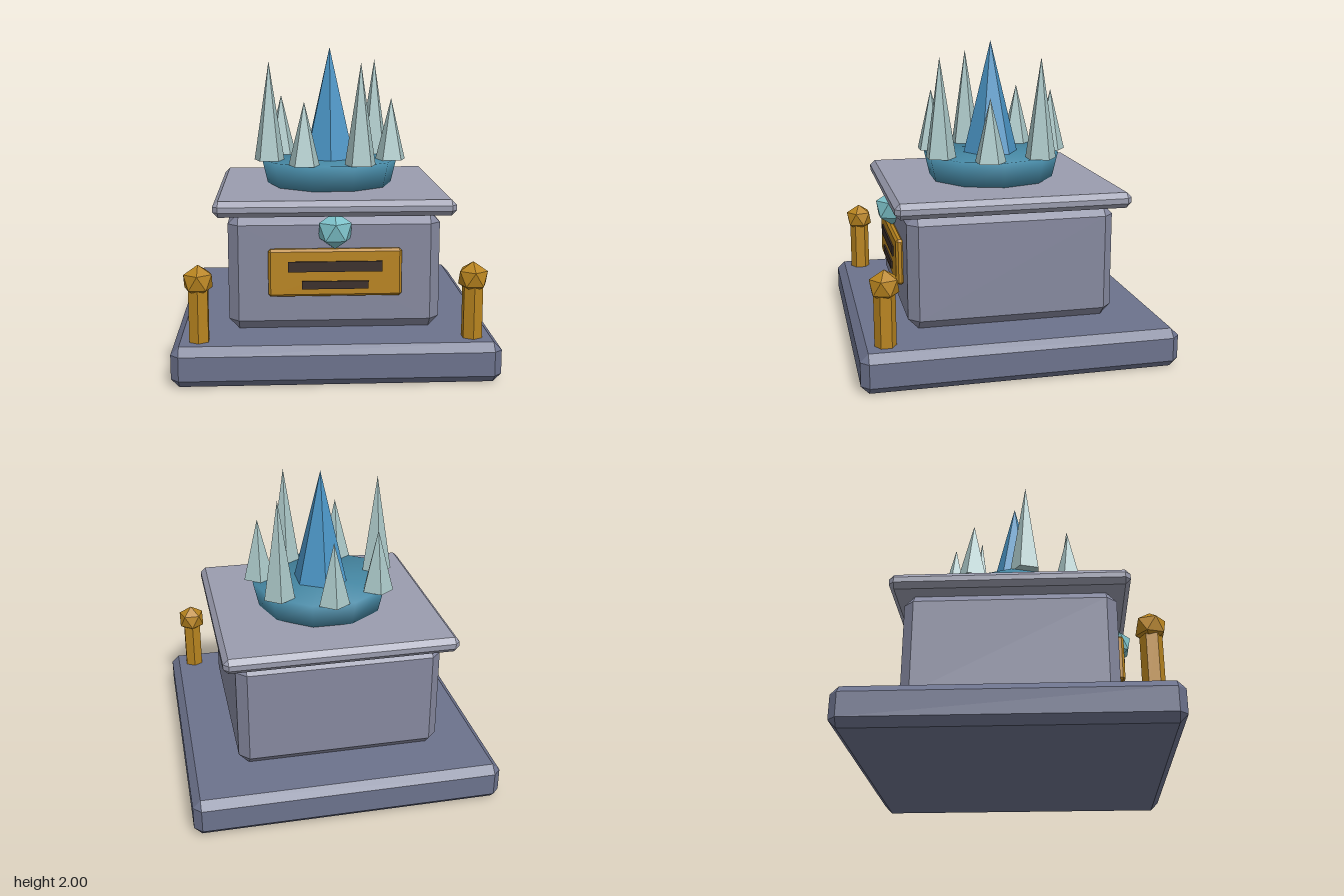
import * as THREE from 'three';
import { mergeVertices } from 'three/addons/utils/BufferGeometryUtils.js';
import { ConvexGeometry } from 'three/addons/geometries/ConvexGeometry.js';

// Box with every edge cut at 45 degrees
function chamferBox(w, h, d, c) {
  const points = [];
  for (const sx of [-1, 1]) for (const sy of [-1, 1]) for (const sz of [-1, 1]) {
    const x = w / 2, y = h / 2, z = d / 2;
    points.push(
      new THREE.Vector3(sx * x, sy * (y - c), sz * (z - c)),
      new THREE.Vector3(sx * (x - c), sy * y, sz * (z - c)),
      new THREE.Vector3(sx * (x - c), sy * (y - c), sz * z));
  }
  return new ConvexGeometry(points);
}

// Icosahedron standing on a corner
function gemGeometry(radius) {
  return new THREE.IcosahedronGeometry(radius, 0)
    .rotateZ(Math.atan(2 / (1 + Math.sqrt(5))))
    .rotateY(Math.PI / 2);
}

export function createModel() {
  const model = new THREE.Group();
  model.name = 'crystalPedestal';

  const paint = (color, flatShading = true) => new THREE.MeshStandardMaterial({ color, flatShading });
  const baseStone = paint(0x6c728c);
  const bodyStone = paint(0x85889e);
  const slabStone = paint(0x9a9cae);
  const gold = paint(0xb8841f);
  const dark = paint(0x3a2e2a);
  const bowlBlue = paint(0x4688a4, false);
  const paleCrystal = paint(0xa9c6c6);
  const blueCrystal = paint(0x4a94c4);
  const gemBlue = paint(0x7cc0c8);

  const add = (name, geometry, material, x, y, z) => {
    const mesh = new THREE.Mesh(geometry, material);
    mesh.name = name;
    mesh.position.set(x, y, z);
    model.add(mesh);
    return mesh;
  };

  // Stacked stone blocks
  add('base', chamferBox(2, 0.25, 2, 0.05), baseStone, 0, 0.125, 0);
  add('body', chamferBox(1.33, 0.74, 1.33, 0.065), bodyStone, 0, 0.62, 0);
  add('topSlab', chamferBox(1.5, 0.1, 1.5, 0.033), slabStone, 0, 1.037, 0);

  // Front plaque with two dark bars and a gem above
  add('plaque', chamferBox(0.83, 0.3, 0.05, 0.015), gold, 0, 0.63, 0.685);
  add('upperBar', new THREE.BoxGeometry(0.585, 0.065, 0.02), dark, 0, 0.672, 0.71);
  add('lowerBar', new THREE.BoxGeometry(0.415, 0.05, 0.02), dark, 0, 0.555, 0.71);
  add('frontGem', gemGeometry(0.118), gemBlue, 0, 0.893, 0.68);

  // Corner posts at the front
  for (const [side, x] of [['left', 0.835], ['right', -0.835]]) {
    add(side + 'Post', new THREE.CylinderGeometry(0.067, 0.067, 0.35, 6), gold, x, 0.425, 0.835);
    add(side + 'PostKnob', gemGeometry(0.1), gold, x, 0.625, 0.835);
  }

  // Ten-sided bowl, softly shaded across rim and top
  const bowl = new THREE.CylinderGeometry(0.46, 0.42, 0.17, 10, 1, false, Math.PI / 10);
  bowl.deleteAttribute('normal');
  bowl.deleteAttribute('uv');
  const smoothBowl = mergeVertices(bowl);
  smoothBowl.computeVertexNormals();
  add('bowl', smoothBowl, bowlBlue, 0, 1.17, 0);

  // Central crystal
  add('centreCrystal', new THREE.ConeGeometry(0.185, 0.745, 6), blueCrystal, 0, 1.6275, 0);

  // Ring of seven crystals, alternating short and tall
  for (let i = 0; i < 7; i++) {
    const angle = (i / 7) * Math.PI * 2;
    const height = i % 2 ? 0.655 : 0.41;
    const crystal = add('ringCrystal' + (i + 1), new THREE.ConeGeometry(0.105, height, 5), paleCrystal,
      0.418 * Math.sin(angle), 1.255 + height / 2, -0.418 * Math.cos(angle));
    crystal.rotation.y = Math.PI;
  }

  return model;
}
